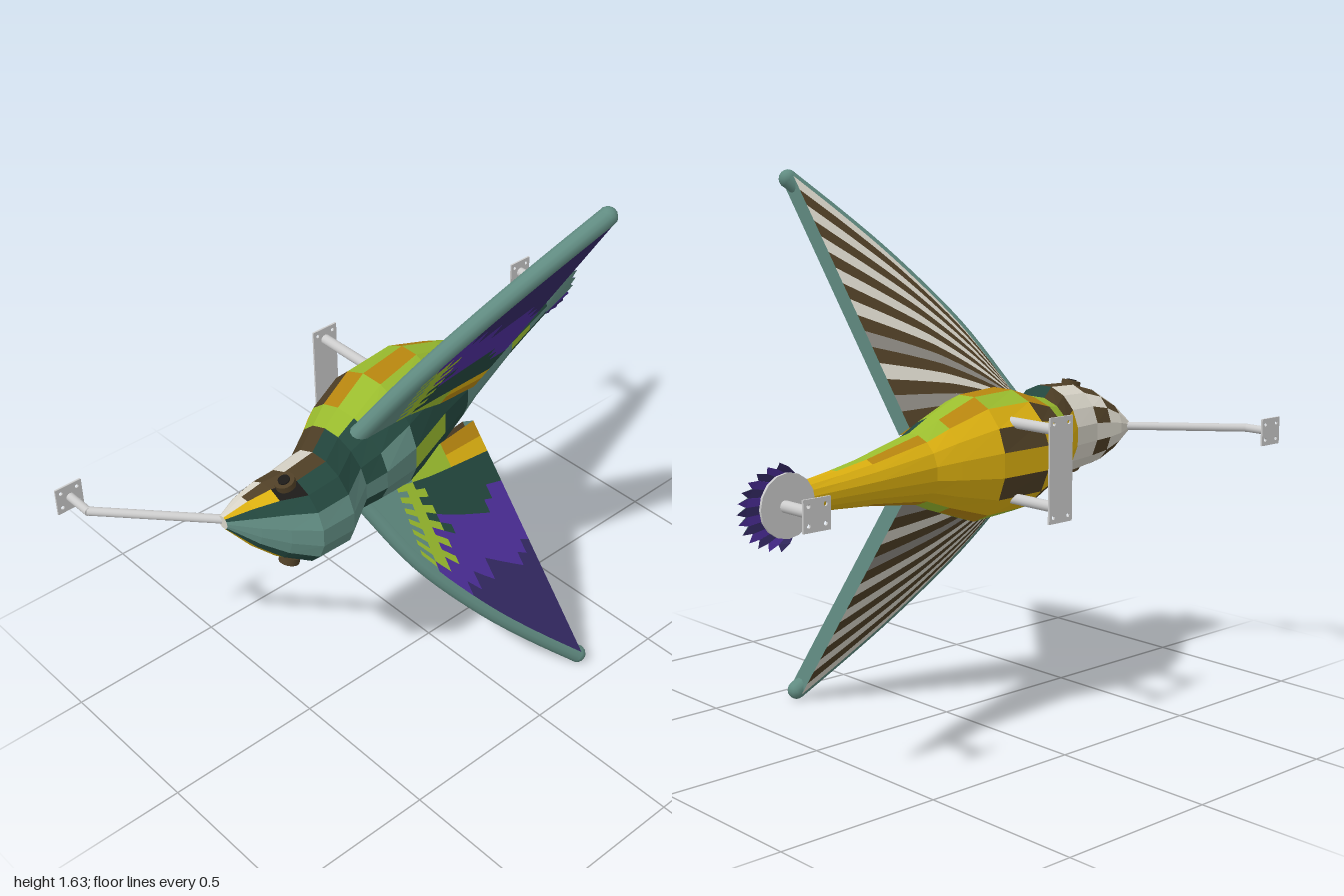
import * as THREE from 'three';

const C = {
  teal: 0x618c82, green: 0x24483f, lime: 0x9bbd2e, yellow: 0xdcb010, orange: 0xb8860f,
  brown: 0x4f3f26, white: 0xd8d4c8, stone: 0x8f8b84, purple: 0x4e2f9c, indigo: 0x352a66, dark: 0x1c1a18,
};
const MID = 0.83; // height of the body axis

// Collects flat quads by colour and makes one mesh per colour
function patchwork(name) {
  const sets = {};
  return {
    quad(color, a, b, c, d) {
      (sets[color] ??= []).push(...[a, b, c, a, c, d].flat());
    },
    build() {
      const group = new THREE.Group();
      group.name = name;
      for (const [color, pts] of Object.entries(sets)) {
        const geo = new THREE.BufferGeometry();
        geo.setAttribute('position', new THREE.Float32BufferAttribute(pts, 3));
        geo.computeVertexNormals();
        const mat = new THREE.MeshStandardMaterial({ color: C[color], side: THREE.DoubleSide, flatShading: true });
        const mesh = new THREE.Mesh(geo, mat);
        mesh.name = `${name} ${color}`;
        group.add(mesh);
      }
      return group;
    },
  };
}

// Body stations: x, front z, back z, half height
const STATIONS = [
  [-0.71, -0.05, -0.09, 0.02], [-0.66, 0.04, -0.1, 0.08], [-0.61, 0.11, -0.1, 0.12],
  [-0.55, 0.175, -0.1, 0.14], [-0.44, 0.175, -0.12, 0.145], [-0.33, 0.1, -0.2, 0.13],
  [-0.25, 0.1, -0.26, 0.145], [-0.12, 0.08, -0.31, 0.185], [0.06, 0.01, -0.315, 0.185],
  [0.2, -0.04, -0.29, 0.135], [0.28, -0.07, -0.275, 0.1], [0.5, -0.15, -0.293, 0.065],
  [0.62, -0.19, -0.302, 0.052], [0.74, -0.23, -0.31, 0.042],
];
const SIDES = 16;

function headColor(i, m) {
  if (m <= 1) return 'teal';
  if (m === 2) return 'green';
  if (m === 3) return i < 2 ? 'yellow' : i === 2 ? 'dark' : 'green';
  if (m === 4) return i < 1 ? 'white' : i === 4 ? 'green' : 'brown';
  if (m === 5) return i === 3 ? 'white' : i < 2 ? 'white' : 'brown';
  if (m === 6) return i === 1 || i === 4 ? 'brown' : 'white';
  return i === 4 ? 'yellow' : i === 2 && m === 7 ? 'brown' : 'white';
}

function bodyColor(i, m) {
  if (i < 5) return headColor(i, m);
  if (m === 0) return i === 7 ? 'lime' : i === 8 ? 'green' : i === 11 ? 'lime' : 'teal';
  if (m === 1) return i === 6 || i === 9 ? 'teal' : i === 10 ? 'teal' : 'green';
  if (m === 2) return i >= 11 ? 'yellow' : 'green';
  if (m === 3) return i === 5 || i === 9 ? 'green' : i === 12 ? 'yellow' : 'lime';
  if (m === 4) return i === 7 ? 'orange' : i >= 12 ? 'yellow' : 'lime';
  if (m === 5) return i === 6 || i === 8 || i === 10 ? 'orange' : i >= 11 ? 'yellow' : 'lime';
  if (m === 6) return i === 6 ? 'brown' : i === 5 ? 'lime' : 'yellow';
  return m === 7 && i === 7 ? 'brown' : 'yellow';
}

function makeBody() {
  const p = patchwork('body');
  const at = (i, k) => {
    const [x, zf, zb, h] = STATIONS[i];
    const a = ((k - 0.5) / SIDES) * Math.PI * 2;
    return [x, MID + h * Math.sin(a), (zf + zb) / 2 + ((zf - zb) / 2) * Math.cos(a)];
  };
  for (let k = 0; k < SIDES; k++) {
    const m = Math.min(k, SIDES - k);
    for (let i = 0; i < STATIONS.length - 1; i++) {
      p.quad(bodyColor(i, m), at(i, k), at(i + 1, k), at(i + 1, k + 1), at(i, k + 1));
    }
    const tip = [-0.71, MID, -0.07];
    p.quad('white', tip, at(0, k), at(0, k + 1), tip);
  }
  return p.build();
}

// Tail: pointed feathers fanning from the body end into a thin edge
function makeTail() {
  const p = patchwork('tail');
  const N = 13;
  const root = (t, front) => [0.74, MID + 0.042 * Math.sin(t), front ? -0.27 + 0.04 * Math.cos(t) : -0.27 - 0.04 * Math.cos(t)];
  const out = (t, r, z) => [0.74 + 0.25 * r * Math.cos(t * 0.75), MID + 0.115 * r * Math.sin(t), z];
  const ang = (j) => (j / N - 0.5) * Math.PI;
  for (let j = 0; j < N; j++) {
    const a = ang(j), b = ang(j + 1), mid = (a + b) / 2;
    const edge = Math.abs(j - (N - 1) / 2);
    for (const front of [true, false]) {
      const color = edge < 3 && front ? 'teal' : j % 2 ? 'purple' : 'indigo';
      const z = front ? -0.318 : -0.322;
      const va = out(a, 0.86, z), vb = out(b, 0.86, z);
      p.quad(color, root(a, front), va, vb, root(b, front));
      p.quad(color, va, out(mid, 1, -0.33), vb, vb);
    }
  }
  return p.build();
}

// Front feathers change colour in steps from shoulder to tip
function featherColor(u, v, s, i) {
  const step = (i % 2) * 0.04;
  if (v < 0.14) return u < 0.35 ? 'teal' : u < 0.68 ? 'lime' : i ? 'yellow' : 'orange';
  if (u < 0.25 + step) return 'teal';
  if (u < 0.4 + step && s < 0.34) return 'lime';
  if (s < 0.22 + step) return 'green';
  if (s < 0.42 + step) return 'purple';
  return 'indigo';
}

// One wing: fanned sheets front and back, a trailing wall and a round leading rim
function makeWing(side, name) {
  const HALF = 0.027, FEATHERS = 16, STEPS = 16;
  const place = (x, s, off) => [x, MID + side * (0.077 + 0.85 * s - 0.526 * off), -0.03 + 0.526 * s + 0.85 * off];
  const lead = new THREE.CatmullRomCurve3(
    [[-0.27, 0.04], [-0.16, 0.3], [0, 0.54], [0.13, 0.695], [0.26, 0.835]].map(([x, s]) => new THREE.Vector3(x, s, 0)));
  const plan = (u, v) => {
    const q = lead.getPoint(u);
    return [THREE.MathUtils.lerp(-0.27 + 0.46 * u, q.x, v), THREE.MathUtils.lerp(0.04 - 0.04 * u, q.y, v)];
  };
  const p = patchwork(name);
  for (let i = 0; i < FEATHERS; i++) {
    const v0 = i / FEATHERS, v1 = (i + 1) / FEATHERS, vm = (v0 + v1) / 2;
    for (let j = 0; j < STEPS; j++) {
      const u0 = j / STEPS, u1 = (j + 1) / STEPS, um = (u0 + u1) / 2;
      const cell = [[u0, v0], [u1, v0], [u1, v1], [u0, v1]].map(([u, v]) => plan(u, v));
      const front = cell.map(([x, s]) => place(x, s, HALF));
      const back = cell.map(([x, s]) => place(x, s, -HALF)).reverse();
      p.quad(featherColor(um, vm, plan(um, vm)[1], i), ...front);
      p.quad(i % 2 === 0 ? 'brown' : i % 4 === 1 && i < 9 ? 'stone' : 'white', ...back);
    }
    const a = plan(1, v0), b = plan(1, v1);
    p.quad('teal', place(...a, HALF), place(...a, -HALF), place(...b, -HALF), place(...b, HALF));
  }
  const group = p.build();
  const path = new THREE.CatmullRomCurve3(lead.getPoints(12).map((q) => new THREE.Vector3(...place(q.x, q.y, 0))));
  const mat = new THREE.MeshStandardMaterial({ color: C.teal });
  const rim = new THREE.Mesh(new THREE.TubeGeometry(path, 20, 0.028, 12), mat);
  rim.name = 'leadingRim';
  const cap = new THREE.Mesh(new THREE.SphereGeometry(0.028, 12, 8), mat);
  cap.name = 'wingTip';
  cap.position.copy(path.getPoint(1));
  group.add(rim, cap);
  return group;
}

function makeEye(side) {
  const eye = new THREE.Group();
  eye.name = side > 0 ? 'upperEye' : 'lowerEye';
  for (const [r, h, color] of [[0.03, 0.02, C.brown], [0.017, 0.028, C.dark]]) {
    const disc = new THREE.Mesh(new THREE.CylinderGeometry(r, r, h, 16), new THREE.MeshStandardMaterial({ color }));
    disc.name = r > 0.02 ? 'iris' : 'pupil';
    eye.add(disc);
  }
  eye.position.set(-0.575, MID + side * 0.134, 0.045);
  eye.rotation.z = side * 0.3;
  return eye;
}

// Wall mounts: rods and drilled plates behind the body
function makeMounts() {
  const group = new THREE.Group();
  group.name = 'wallMounts';
  const grey = new THREE.MeshStandardMaterial({ color: 0xcccccc });
  const rod = (name, a, b, r) => {
    const from = new THREE.Vector3(...a), to = new THREE.Vector3(...b);
    const dir = to.clone().sub(from);
    const mesh = new THREE.Mesh(new THREE.CylinderGeometry(r, r, dir.length(), 16), grey);
    mesh.position.copy(from).add(to).multiplyScalar(0.5);
    mesh.quaternion.setFromUnitVectors(new THREE.Vector3(0, 1, 0), dir.normalize());
    mesh.name = name;
    group.add(mesh);
  };
  const plate = (name, x, w, h) => {
    const shape = new THREE.Shape([[-1, -1], [1, -1], [1, 1], [-1, 1]].map(([i, j]) => new THREE.Vector2((i * w) / 2, (j * h) / 2)));
    for (const i of [-1, 1]) for (const j of [-1, 1]) {
      shape.holes.push(new THREE.Path().absarc(i * (w / 2 - 0.016), j * (h / 2 - 0.018), 0.006, 0, Math.PI * 2, true));
    }
    const mesh = new THREE.Mesh(new THREE.ExtrudeGeometry(shape, { depth: 0.006, bevelEnabled: false, curveSegments: 6 }), grey);
    mesh.position.set(x, MID, -0.458);
    mesh.name = name;
    group.add(mesh);
  };
  rod('beakRod', [-0.69, MID, -0.07], [-0.955, MID, -0.365], 0.013);
  rod('beakRodEnd', [-0.955, MID, -0.36], [-0.955, MID, -0.455], 0.013);
  plate('beakPlate', -0.957, 0.085, 0.085);
  for (const side of [-1, 1]) rod('backRod', [-0.015, MID + side * 0.11, -0.25], [-0.015, MID + side * 0.11, -0.455], 0.016);
  plate('backPlate', -0.015, 0.09, 0.3);
  rod('tailRod', [0.84, MID, -0.32], [0.84, MID, -0.455], 0.016);
  rod('tailDisc', [0.83, MID, -0.32], [0.83, MID, -0.328], 0.085);
  plate('tailPlate', 0.84, 0.085, 0.085);
  return group;
}

export function createModel() {
  const model = new THREE.Group();
  model.name = 'bird';
  model.add(makeBody(), makeTail(), makeWing(1, 'upperWing'), makeWing(-1, 'lowerWing'), makeEye(1), makeEye(-1), makeMounts());
  return model;
}
